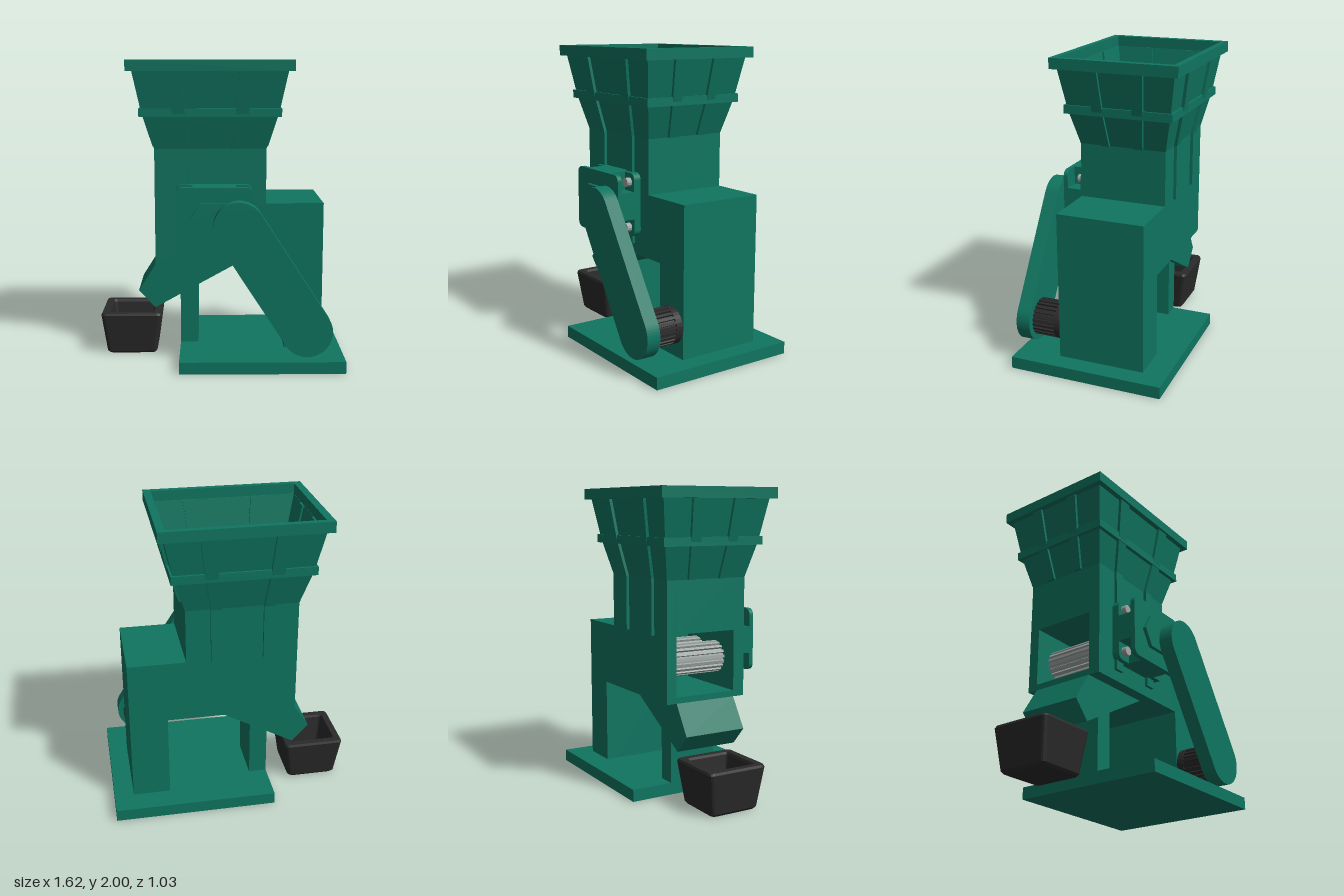
import * as THREE from 'three';

const mat = (color) => new THREE.MeshStandardMaterial({ color, flatShading: true, side: THREE.DoubleSide });

export function createModel() {
  const model = new THREE.Group();
  const green = mat(0x0f7560), black = mat(0x2a2a2a), steel = mat(0x9fa8a5);

  const add = (name, geometry, material = green) => {
    const mesh = new THREE.Mesh(geometry, material);
    mesh.name = name;
    model.add(mesh);
    return mesh;
  };
  // box given by its limits
  const box = (name, x0, x1, y0, y1, z0, z1) =>
    add(name, new THREE.BoxGeometry(x1 - x0, y1 - y0, z1 - z0))
      .position.set((x0 + x1) / 2, (y0 + y1) / 2, (z0 + z1) / 2);
  // outline in the front plane, extruded from z0 to z1
  const slab = (name, shape, z0, z1, material) =>
    add(name, new THREE.ExtrudeGeometry(shape, { depth: z1 - z0, bevelEnabled: false, curveSegments: 16 }), material)
      .position.z = z0;
  const poly = (pts) => new THREE.Shape(pts.map(([x, y]) => new THREE.Vector2(x, y)));

  // horizontal rectangle, optionally with rounded corners
  const ring = (y, hx, hz, cx, cz, r = 0) => {
    const pts = [], steps = r ? 4 : 0;
    [[1, 1], [-1, 1], [-1, -1], [1, -1]].forEach(([sx, sz], q) => {
      for (let i = 0; i <= steps; i++) {
        const a = (q + (steps ? i / steps : 0.5)) * Math.PI / 2;
        pts.push([cx + sx * (hx - r) + r * Math.cos(a), y, cz + sz * (hz - r) + r * Math.sin(a)]);
      }
    });
    return pts;
  };
  // skin over successive rings
  const loft = (name, rings, material) => {
    const pos = [], n = rings[0].length;
    for (let i = 0; i < rings.length - 1; i++) {
      for (let j = 0; j < n; j++) {
        const k = (j + 1) % n;
        const a = rings[i][j], b = rings[i][k], c = rings[i + 1][k], d = rings[i + 1][j];
        pos.push(...a, ...d, ...c, ...a, ...c, ...b);
      }
    }
    const g = new THREE.BufferGeometry();
    g.setAttribute('position', new THREE.Float32BufferAttribute(pos, 3));
    g.computeVertexNormals();
    return add(name, g, material);
  };
  // toothed round outline
  const toothed = (cx, cy, rOut, rIn, teeth) => {
    const pts = [];
    for (let i = 0; i < teeth; i++) {
      [[0, rIn], [0.35, rIn], [0.42, rOut], [0.93, rOut]].forEach(([f, r]) => {
        const a = (i + f) / teeth * Math.PI * 2;
        pts.push([cx + r * Math.cos(a), cy + r * Math.sin(a)]);
      });
    }
    return poly(pts);
  };

  // base and post
  box('base', -0.27, 0.81, 0, 0.08, -0.52, 0.51);
  box('post', -0.27, -0.15, 0.08, 0.5, -0.24, 0.09);

  // tower, side housing and leg, with a chamber open to one side
  const outline = [[-0.43, 0.65], [0.43, 0.65], [0.43, 0.08], [0.68, 0.08], [0.68, 1.07], [0.3, 1.07], [0.3, 1.43], [-0.43, 1.43]];
  const chamber = [[-0.43, 1.09], [0.14, 1.09], [0.14, 0.69], [-0.43, 0.69]];
  slab('bodyBack', poly(outline), -0.36, -0.29);
  slab('bodyMiddle', poly([...outline, ...chamber]), -0.29, 0.14);
  slab('bodyFront', poly(outline), 0.14, 0.22);
  for (const x of [-0.22, 0.02]) slab('crusherRoller', toothed(x, 0.89, 0.105, 0.09, 18), -0.29, 0.14, steel);

  // discharge chute
  slab('chute', poly([[-0.43, 0.65], [-0.55, 0.46], [-0.44, 0.34], [0.12, 0.65]]), -0.29, 0.14);

  // hopper shell
  const CX = -0.065, CZ = -0.07;
  const levels = [[1.43, 0.365, 0.29], [1.66, 0.437, 0.342], [1.93, 0.495, 0.385]];
  const around = (y, hx, hz) => ring(y, hx, hz, CX, CZ);
  const inner = levels.map(([y, hx, hz]) => around(y, hx - 0.012, hz - 0.012)).reverse();
  loft('hopper', [...levels.map((l) => around(...l)), ...inner]);

  // rim and reinforcing band, as closed frames
  const frame = (name, y0, y1, ox, oz, ix, iz) => loft(name, [
    around(y0, ix, iz), around(y0, ox, oz), around(y1, ox, oz), around(y1, ix, iz), around(y0, ix, iz)]);
  frame('rim', 1.93, 2, 0.535, 0.42, 0.485, 0.378);
  frame('band', 1.64, 1.695, 0.458, 0.362, 0.41, 0.315);

  // ribs following the hopper walls, showing inside and out
  for (const s of [-1, 1]) {
    for (const e of [-1, 1]) {
      const front = levels.map(([y, hx, hz]) =>
        ring(y, 0.095 * hx, 0.022, CX + s * 0.465 * hx, CZ + e * (hz - 0.002)));
      const side = levels.map(([y, hx, hz]) =>
        ring(y, 0.022, 0.1 * hz, CX + e * (hx - 0.002), CZ + s * 0.39 * hz));
      for (const rib of [front, side]) {
        const first = rib[0], last = rib[2];
        const cap = (r) => r.map(() => [0, 1, 2].map((i) => (r[0][i] + r[2][i]) / 2));
        loft('hopperRib', [cap(first), ...rib, cap(last)]);
      }
      // straight ribs down the tower
      const x = CX + s * 0.17;
      if (e > 0) box('towerRib', x - 0.035, x + 0.035, 0.72, 1.43, 0.2, 0.24);
      else box('towerRib', x - 0.035, x + 0.035, 1.07, 1.43, -0.38, -0.34);
    }
  }

  // gearbox: flange, recessed middle and rounded cover
  const rounded = (x0, x1, y0, y1, r) => {
    const s = new THREE.Shape();
    s.absarc(x1 - r, y1 - r, r, 0, Math.PI / 2);
    s.absarc(x0 + r, y1 - r, r, Math.PI / 2, Math.PI);
    s.absarc(x0 + r, y0 + r, r, Math.PI, Math.PI * 1.5);
    s.absarc(x1 - r, y0 + r, r, Math.PI * 1.5, Math.PI * 2);
    return s;
  };
  const plate = rounded(-0.29, 0.21, 0.78, 1.2, 0.045);
  slab('gearboxFlange', plate, 0.22, 0.27);
  slab('gearboxCover', plate, 0.365, 0.395);
  box('gearboxMiddle', -0.29, 0.21, 0.9, 1.08, 0.27, 0.365);
  box('gearboxMiddle', -0.18, 0.1, 0.78, 1.2, 0.27, 0.365);
  for (const x of [-0.235, 0.155]) {
    for (const y of [0.84, 1.14]) {
      const bolt = add('bolt', new THREE.CylinderGeometry(0.03, 0.03, 0.04, 12), steel);
      bolt.rotation.x = Math.PI / 2;
      bolt.position.set(x, y, 0.285);
    }
  }
  slab('hexBoss', poly([[-0.2, 0.99], [-0.135, 0.88], [0.105, 0.88], [0.17, 0.99], [0.105, 1.1], [-0.135, 1.1]]), 0.395, 0.42);

  // belt cover: capsule between the drive and the motor
  const top = [0.115, 0.96], low = [0.555, 0.28], R = 0.163;
  const dir = Math.atan2(top[1] - low[1], top[0] - low[0]);
  const arm = new THREE.Shape();
  arm.absarc(top[0], top[1], R, dir - Math.PI / 2, dir + Math.PI / 2);
  arm.absarc(low[0], low[1], R, dir + Math.PI / 2, dir + Math.PI * 1.5);
  slab('beltCover', arm, 0.42, 0.515);

  // finned motor
  slab('motorFins', toothed(low[0], low[1], 0.123, 0.11, 24), 0.265, 0.42, black);
  const collar = add('motorCollar', new THREE.CylinderGeometry(0.123, 0.123, 0.05, 32), black);
  collar.rotation.x = Math.PI / 2;
  collar.position.set(low[0], low[1], 0.24);

  // collecting bin with thick walls
  const bin = [[0, 0, 0, 0], [0, 0.16, 0.16, 0.03], [0.015, 0.172, 0.172, 0.03], [0.275, 0.207, 0.207, 0.03],
    [0.29, 0.2, 0.2, 0.03], [0.29, 0.157, 0.157, 0.02], [0.275, 0.15, 0.15, 0.02], [0.05, 0.125, 0.125, 0.02], [0.05, 0, 0, 0]];
  loft('bin', bin.map(([y, hx, hz, r]) => ring(y, hx, hz, -0.607, -0.075, r || 1e-5)), black);

  return model;
}
